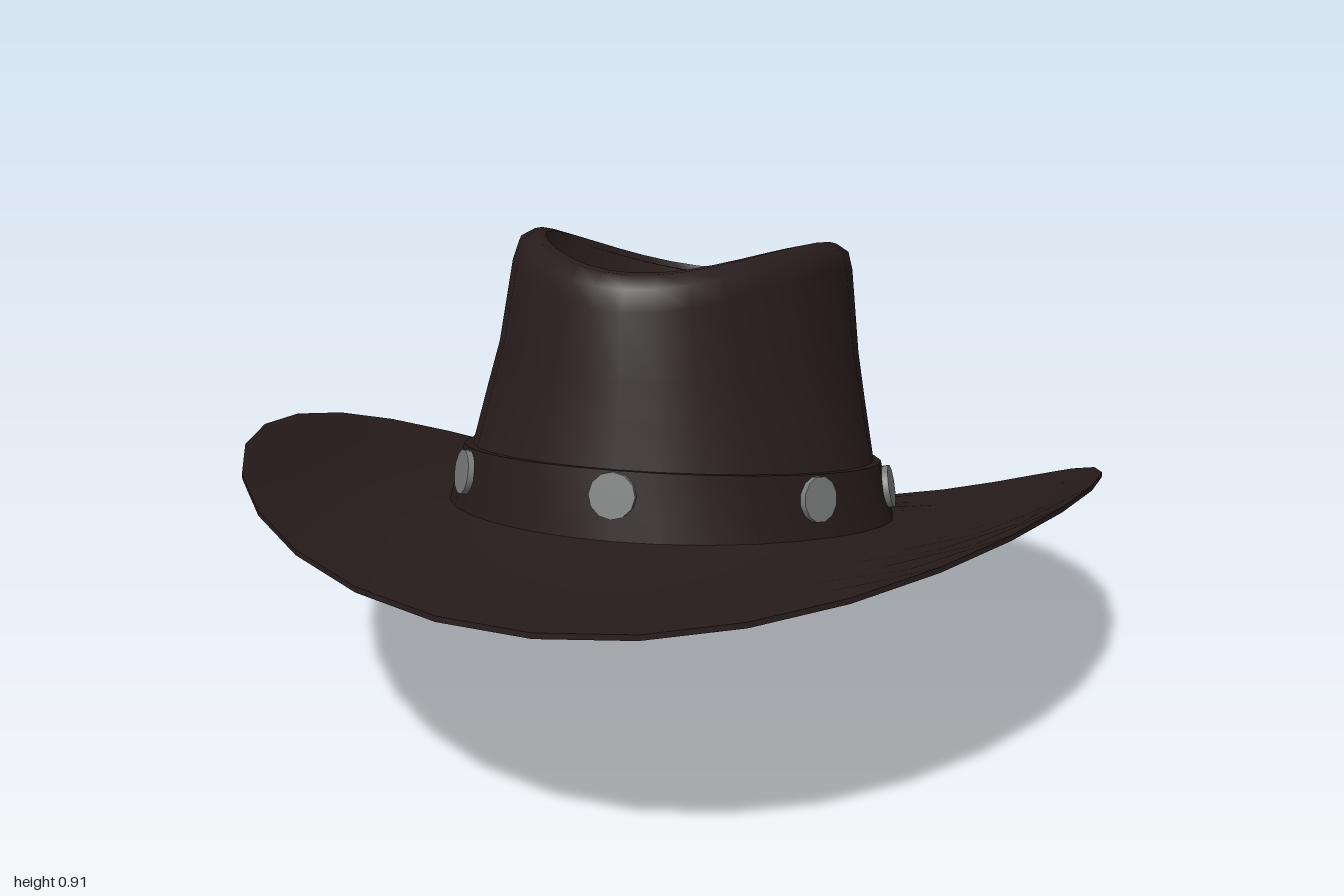
import * as THREE from 'three';

const SEG = 32;
const CX = -0.015; // crown sits a touch off centre

// Ridge line of the crown, and tilted plane of the band's top edge
const crownY = (z) => 0.91 - 0.375 * (z - 0.2) ** 2;
const bandY = (z) => 0.468 + 0.266 * z;
const below = (d) => (x, z) => crownY(z) - d;

// Oval ring; k narrows its front into an egg shape
const oval = (front, back, rx, height, k = 0) => (a) => {
  const c = Math.cos(a);
  const x = CX + rx * Math.sin(a) * (1 - k * c);
  const z = (front + back) / 2 + ((front - back) / 2) * c;
  return [x, height(x, z), z];
};

// Ring part-way from the crown opening (t = 0) to the brim edge (t = 1);
// the brim sweeps down to the back and its sides curl up towards the edge
const brimRing = (t, thickness, inner = 0.43) => (a) => {
  const s = Math.sin(a), c = Math.cos(a);
  const x = THREE.MathUtils.lerp(CX + inner * s, 0.81 * s, t);
  const z = THREE.MathUtils.lerp(-0.04 + (inner + 0.06) * c, c - 0.06 * s * s, t);
  const y = 0.31 + 0.26 * z - 0.05 * z * z + 0.25 * x * x * t ** 0.7;
  return [x, y + thickness, z];
};

// Crown wall and shoulder, inset by d for the lining
const wallRings = (d) => [
  oval(0.42 - d, -0.535 + d, 0.388 - d, (x, z) => bandY(z)),
  oval(0.405 - d, -0.565 + d, 0.362 - d, (x, z) => bandY(z) * 0.72 + crownY(z) * 0.28, 0.02),
  oval(0.39 - d, -0.585 + d, 0.342 - d, (x, z) => (bandY(z) + crownY(z)) / 2, 0.05),
  oval(0.37 - d, -0.602 + d, 0.32 - d, below(0.05 + d), 0.09),
  oval(0.355 - d, -0.602 + d, 0.31 - d, below(0.015 + d), 0.1),
  oval(0.325 - d, -0.58 + d, 0.285 - d, below(d), 0.12),
  oval(0.295 - d, -0.54 + d, 0.262 - d, below(0.006 + d), 0.13),
];

// Teardrop dent with a low hump inside
const dentRings = (d) => [
  oval(0.295 - d, -0.54 + d, 0.262 - d, below(0.006 + d), 0.13),
  oval(0.262 - d, -0.515 + d, 0.24 - d, below(0.052 + d), 0.13),
  oval(0.2 - d, -0.45 + d, 0.19 - d, below(0.095 + d), 0.12),
  oval(0.1, -0.38, 0.12, below(0.103 + d), 0.1),
  oval(0.0, -0.28, 0.06, below(0.083 + d)),
  oval(-0.14, -0.14, 0, below(0.075 + d)),
];

// Smooth skin across a list of rings
function loft(name, rings, material) {
  const pos = [], index = [];
  rings.forEach((ring, i) => {
    for (let j = 0; j < SEG; j++) {
      pos.push(...ring((j / SEG) * Math.PI * 2));
      if (i === rings.length - 1) continue;
      const a = i * SEG + j, b = i * SEG + ((j + 1) % SEG);
      index.push(a, b, a + SEG, b, b + SEG, a + SEG);
    }
  });
  const g = new THREE.BufferGeometry();
  g.setAttribute('position', new THREE.Float32BufferAttribute(pos, 3));
  g.setIndex(index);
  g.computeVertexNormals();
  const mesh = new THREE.Mesh(g, material);
  mesh.name = name;
  return mesh;
}

export function createModel() {
  const felt = new THREE.MeshStandardMaterial({ color: 0x2a1e1e });
  felt.name = 'dark brown felt';
  const leather = new THREE.MeshStandardMaterial({ color: 0x281c1c });
  leather.name = 'band leather';
  const silver = new THREE.MeshStandardMaterial({ color: 0x787a7a });
  silver.name = 'dull silver';

  const hat = new THREE.Group();
  hat.name = 'hat';
  const steps = [0, 0.1, 0.2, 0.4, 0.6, 0.8, 1];

  // Hollow inside of the crown, flaring out into the brim's underside
  hat.add(loft('liningAndUnderBrim', [
    ...dentRings(0.018).reverse(),
    ...wallRings(0.018).reverse().slice(1),
    oval(0.408, -0.512, 0.38, (x, z) => bandY(z) - 0.07),
    oval(0.425, -0.53, 0.4, (x, z) => bandY(z) - 0.125),
    ...steps.map((t) => brimRing(t, 0, 0.455)),
  ], felt));

  // Thin rim and upper face of the brim, thickening towards the crown
  const topRing = (t) => brimRing(t, 0.01 + 0.034 * (1 - t) ** 3);
  hat.add(loft('brimEdge', [brimRing(1, 0), topRing(1)], felt));
  hat.add(loft('brimTop', [...steps].reverse().map(topRing), felt));

  // Crown outside, with a crease where the dent begins
  hat.add(loft('crownWall', [brimRing(0, 0.03), ...wallRings(0)], felt));
  hat.add(loft('crownDent', dentRings(0), felt));

  // Flared band around the base of the crown
  const bandTop = oval(0.437, -0.54, 0.403, (x, z) => bandY(z));
  hat.add(loft('band', [oval(0.462, -0.545, 0.438, (x, z) => bandY(z) - 0.13), bandTop], leather));
  hat.add(loft('bandLip', [bandTop, oval(0.41, -0.525, 0.38, (x, z) => bandY(z))], leather));

  // Silver discs spaced around the band
  const studs = new THREE.Group();
  studs.name = 'bandStuds';
  const disc = new THREE.CylinderGeometry(0.042, 0.042, 0.012, 12);
  const place = oval(0.451, -0.547, 0.422, (x, z) => bandY(z) - 0.045);
  for (const deg of [0, 52, 92, 139, 180, -139, -92, -52]) {
    const a = THREE.MathUtils.degToRad(deg);
    const stud = new THREE.Mesh(disc, silver);
    stud.name = 'stud';
    stud.position.set(...place(a));
    const out = new THREE.Vector3(Math.sin(a) / 0.42, 0.5, Math.cos(a) / 0.497).normalize();
    stud.quaternion.setFromUnitVectors(new THREE.Vector3(0, 1, 0), out);
    studs.add(stud);
  }
  hat.add(studs);
  return hat;
}
